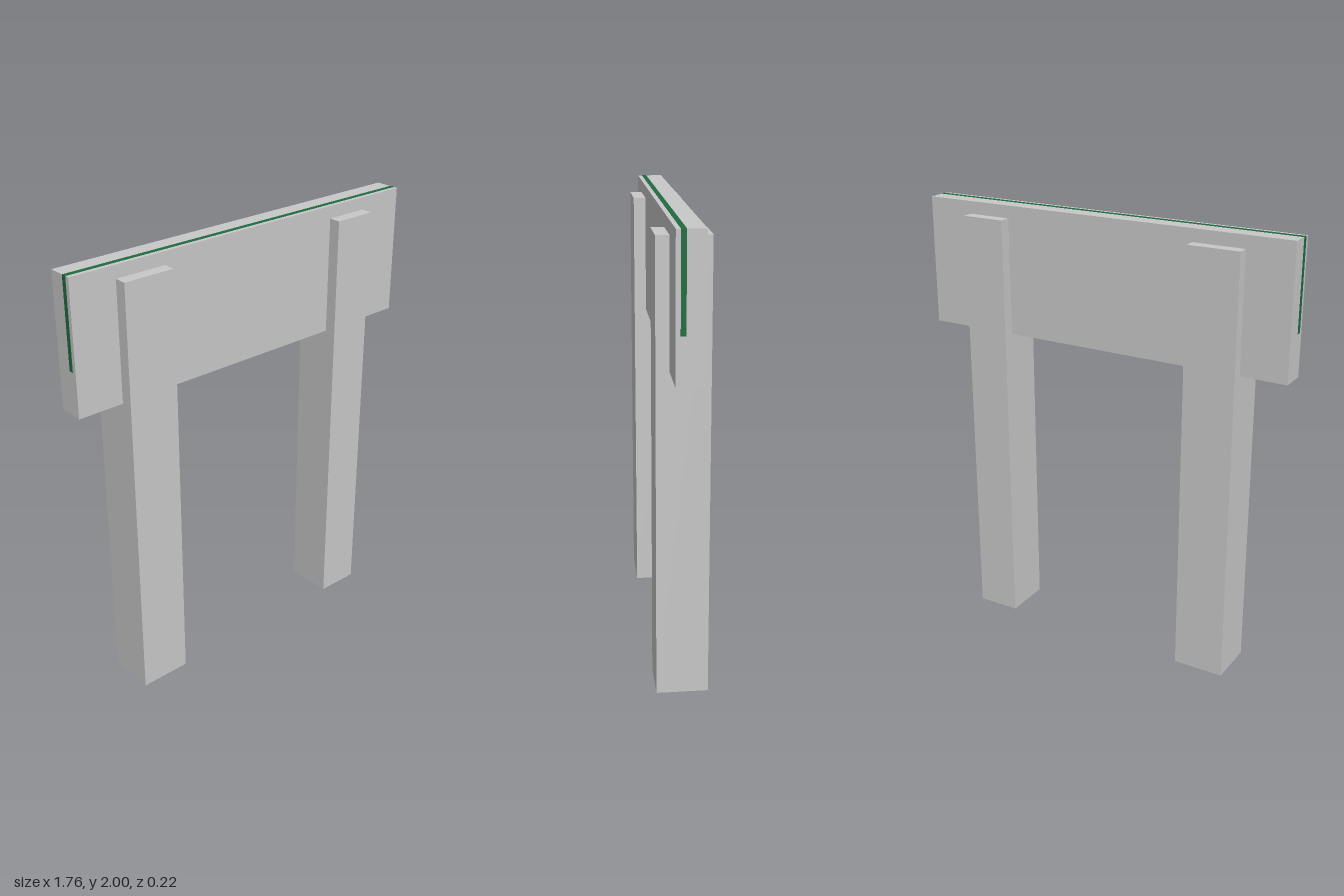
import * as THREE from 'three';

const grey = new THREE.MeshStandardMaterial({ color: 0xc8c8c8 });
grey.name = 'lightGrey';
const green = new THREE.MeshStandardMaterial({ color: 0x1f6b40 });
green.name = 'green';

// Box given by its lower and upper limits on each axis
function block(name, material, [x0, x1], [y0, y1], [z0, z1]) {
  const mesh = new THREE.Mesh(new THREE.BoxGeometry(x1 - x0, y1 - y0, z1 - z0), material);
  mesh.position.set((x0 + x1) / 2, (y0 + y1) / 2, (z0 + z1) / 2);
  mesh.name = name;
  return mesh;
}

export function createModel() {
  const model = new THREE.Group();
  model.name = 'signBoard';

  // Two posts, the right one slightly wider
  model.add(block('rightPost', grey, [-0.67, -0.438], [0, 1.943], [-0.11, 0.11]));
  model.add(block('leftPost', grey, [0.458, 0.658], [0, 1.943], [-0.11, 0.11]));

  // Board held between the posts
  model.add(block('board', grey, [-0.877, 0.877], [1.417, 1.999], [-0.058, 0.056]));

  // Thin green sheet set into the board, showing along its top and ends
  model.add(block('greenSheet', green, [-0.878, 0.878], [1.61, 2], [0.016, 0.037]));

  return model;
}
